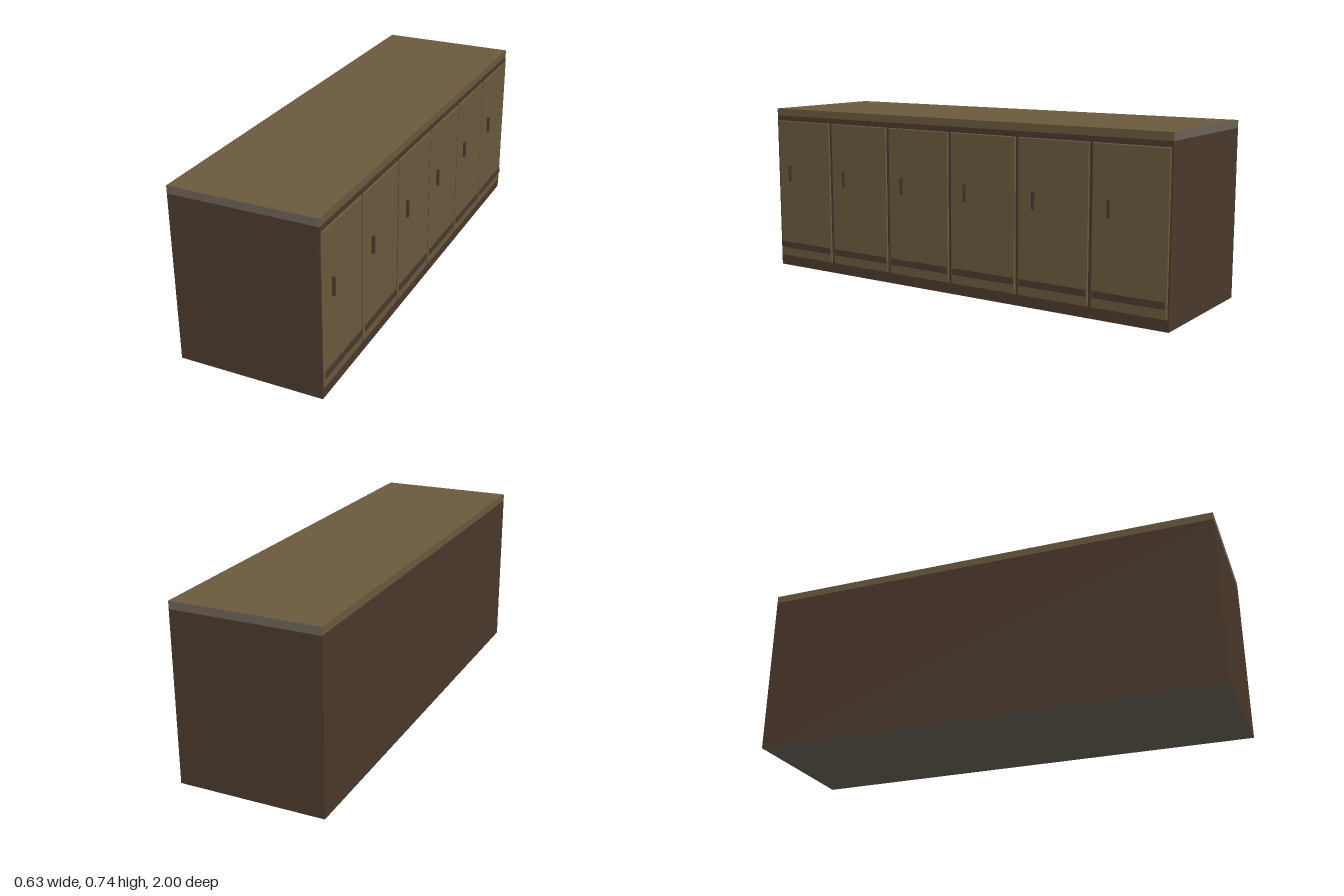
import * as THREE from 'three';

const mat = (name, color) => {
  const m = new THREE.MeshStandardMaterial({ color });
  m.name = name;
  return m;
};

export function createModel() {
  const brown = mat('dark brown wood', 0x4b392c);
  const olive = mat('olive brown wood', 0x6b5b3e);
  const grey = mat('warm grey', 0x6c6358);

  const model = new THREE.Group();
  model.name = 'sideboard';

  // Box given by its lower and upper corners
  const box = (name, material, [x0, y0, z0], [x1, y1, z1], parent = model) => {
    const mesh = new THREE.Mesh(new THREE.BoxGeometry(x1 - x0, y1 - y0, z1 - z0), material);
    mesh.position.set((x0 + x1) / 2, (y0 + y1) / 2, (z0 + z1) / 2);
    mesh.name = name;
    parent.add(mesh);
    return mesh;
  };

  const back = -0.315, face = 0.299, top = 0.708;

  // Carcass with a grey underside
  box('carcass', [brown, brown, brown, grey, brown, brown], [back, 0, -1], [face, top, 1]);

  // Worktop with grey end grain
  box('worktop', [olive, olive, olive, olive, grey, grey], [back, top, -1], [face, 0.74, 1]);

  // Door panel with slightly bevelled edges, facing +x
  const bevel = 0.003, doorW = 0.32, doorY0 = 0.045, doorY1 = 0.685;
  const w = doorW / 2 - bevel;
  const outline = new THREE.Shape([
    new THREE.Vector2(-w, doorY0 + bevel), new THREE.Vector2(w, doorY0 + bevel),
    new THREE.Vector2(w, doorY1 - bevel), new THREE.Vector2(-w, doorY1 - bevel),
  ]);
  const doorGeometry = new THREE.ExtrudeGeometry(outline, {
    depth: 0.003, bevelThickness: bevel, bevelSize: bevel, bevelSegments: 1,
  });
  doorGeometry.rotateY(Math.PI / 2);

  // Six doors, each with a low rail and an upright handle
  for (let i = 0; i < 6; i++) {
    const unit = new THREE.Group();
    unit.name = `door${i + 1}`;
    unit.position.z = (2.5 - i) / 3;
    model.add(unit);

    const panel = new THREE.Mesh(doorGeometry, olive);
    panel.name = 'doorPanel';
    panel.position.x = face - 0.001;
    unit.add(panel);

    box('lowerRail', brown, [face, 0.086, -0.152], [0.308, 0.114, 0.152], unit);
    box('handle', brown, [face, 0.402, 0.081], [0.315, 0.476, 0.091], unit);
  }

  return model;
}
